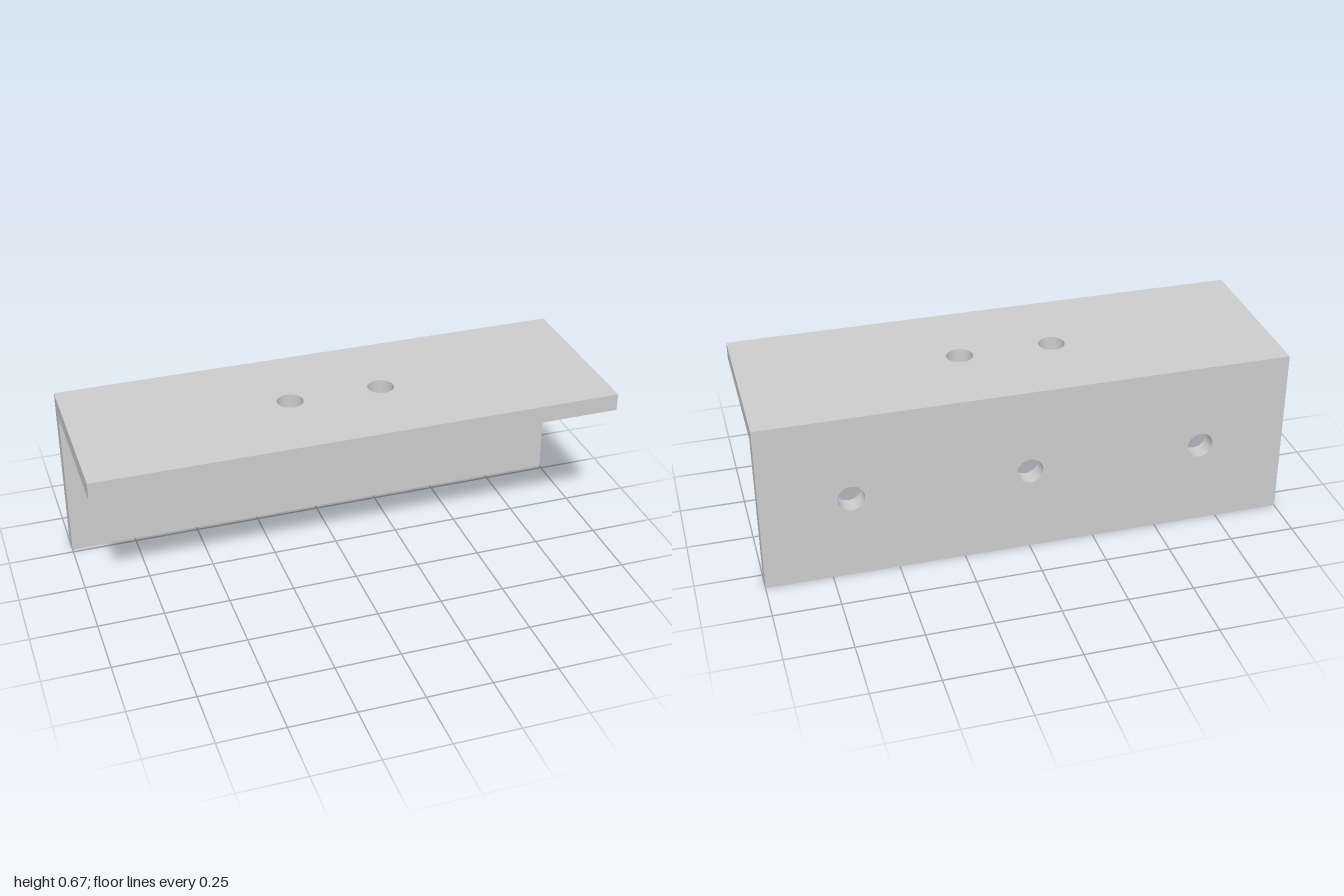
import * as THREE from 'three';
import { toCreasedNormals } from 'three/addons/utils/BufferGeometryUtils.js';

const LENGTH = 2;
const SIDE = 2 / 3; // outer height and depth of the angle
const THICK = 1 / 15;
const HOLE_RADIUS = 0.05;

// Flat plate in the xy plane, drilled through at each [x, y], extruded along +z
function drilledPlate(yMin, yMax, holes) {
  const h = LENGTH / 2;
  const shape = new THREE.Shape([
    new THREE.Vector2(-h, yMin),
    new THREE.Vector2(h, yMin),
    new THREE.Vector2(h, yMax),
    new THREE.Vector2(-h, yMax),
  ]);
  for (const [x, y] of holes) {
    shape.holes.push(new THREE.Path().absarc(x, y, HOLE_RADIUS, 0, Math.PI * 2, true));
  }
  const geometry = new THREE.ExtrudeGeometry(shape, {
    depth: THICK, bevelEnabled: false, curveSegments: 24,
  });
  return toCreasedNormals(geometry, 0.6);
}

export function createModel() {
  const group = new THREE.Group();
  group.name = 'angleBracket';
  const material = new THREE.MeshStandardMaterial({ color: 0xcccccc });

  // Upright flange at the back, three holes
  const upright = new THREE.Mesh(
    drilledPlate(0, SIDE - THICK, [-2 / 3, 0, 2 / 3].map((x) => [x, SIDE / 2])),
    material,
  );
  upright.name = 'uprightFlange';
  upright.position.z = -SIDE / 2;

  // Horizontal flange across the top, two holes
  const top = new THREE.Mesh(
    drilledPlate(-SIDE / 2, SIDE / 2, [-0.178, 0.178].map((x) => [x, 0])),
    material,
  );
  top.name = 'topFlange';
  top.rotation.x = -Math.PI / 2;
  top.position.y = SIDE - THICK;

  group.add(upright, top);
  return group;
}
